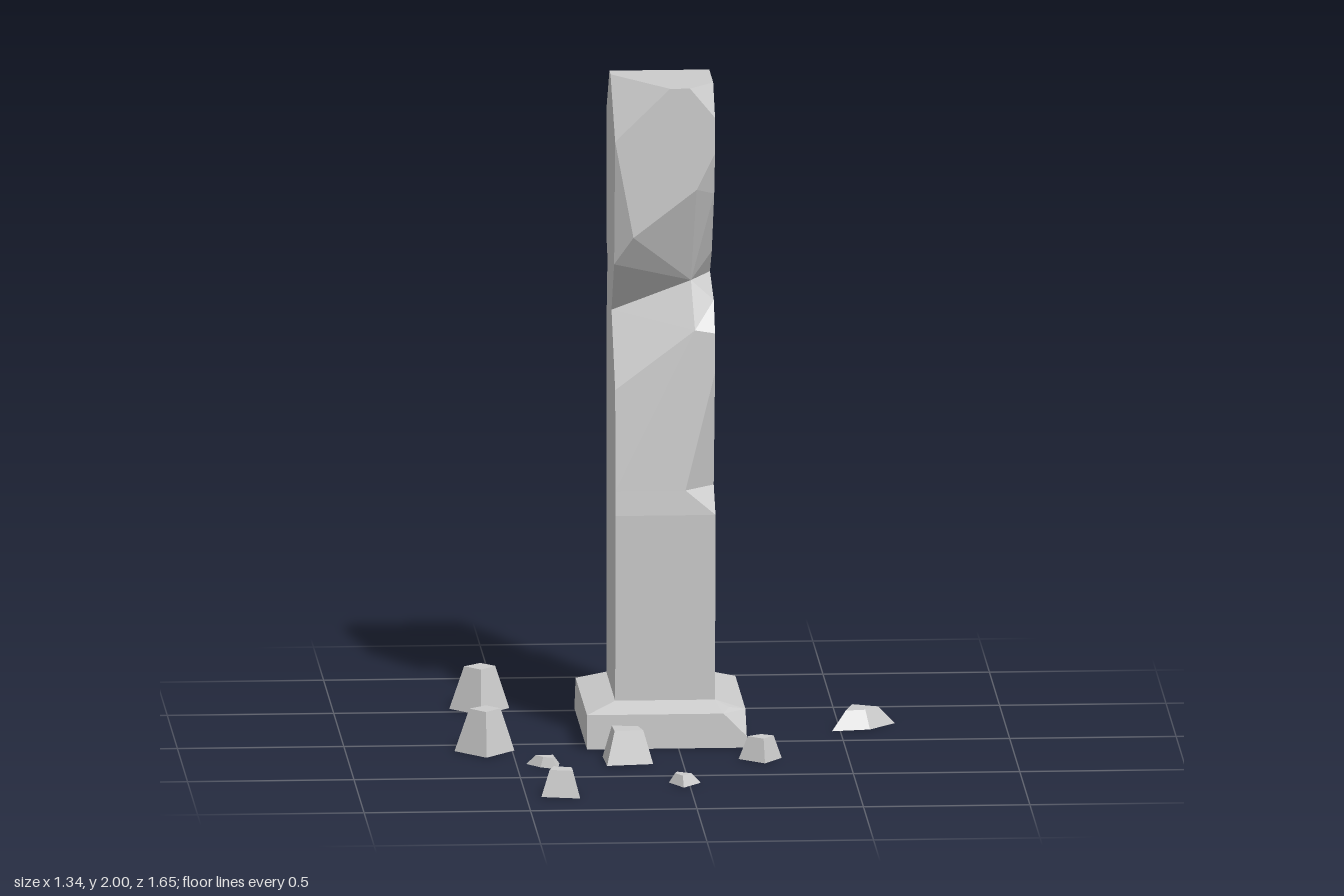
import * as THREE from 'three';
import { ConvexGeometry } from 'three/addons/geometries/ConvexGeometry.js';

const stone = new THREE.MeshStandardMaterial({ color: 0xcccccc, flatShading: true });

// A faceted block of stone spanning the given corner points
function block(name, points) {
  const mesh = new THREE.Mesh(new ConvexGeometry(points.map(p => new THREE.Vector3(...p))), stone);
  mesh.name = name;
  return mesh;
}

// Four corners of a level rectangle
const rect = (x0, x1, y, z0, z1) => [[x0, y, z0], [x1, y, z0], [x1, y, z1], [x0, y, z1]];

// A loose rock: a ground outline tapering to a smaller flat top
function rock(outline, height, taper = 0.52) {
  const n = outline.length;
  const cx = outline.reduce((s, p) => s + p[0], 0) / n;
  const cz = outline.reduce((s, p) => s + p[1], 0) / n;
  const base = outline.map(([x, z]) => [x, 0, z]);
  const top = outline.map(([x, z]) => [cx + (x - cx) * taper, height, cz + (z - cz) * taper]);
  return block('rock', [...base, ...top]);
}

export function createModel() {
  const model = new THREE.Group();
  const L = -0.185, R = 0.115, B = -0.44;

  // Plinth with bevelled top, leaning back face and one chipped corner
  model.add(block('plinth', [
    ...rect(-0.275, 0.205, 0, -0.535, 0.09),
    [-0.275, 0.105, 0.09], [-0.275, 0.105, -0.475], [-0.24, 0.105, -0.49],
    [0.17, 0.105, -0.49], [0.205, 0.105, -0.475],
    [0.205, 0.105, 0.02], [0.155, 0.115, 0.04], [0.135, 0.105, 0.09], [0.205, 0.035, 0.09],
    ...rect(L, R, 0.13, B, 0),
  ]));

  // Ring shared by both trunk blocks, notched at the front corner
  const waist = [
    [L, 0.775, 0.021], [0.025, 0.775, 0.021], [R, 0.775, -0.065],
    [R, 0.775, -0.42], [L, 0.775, -0.42],
  ];
  // Ring at the neck, notched at both back corners
  const neck = [
    [L, 1.29, -0.18], [0.05, 1.39, -0.12], [R, 1.39, -0.25],
    [R, 1.32, -0.385], [0.055, 1.32, B],
    [-0.12, 1.41, B], [L, 1.41, -0.38],
  ];

  model.add(block('lowerTrunk', [
    ...rect(L, R, 0.13, B, 0), [L, 0.7, 0.025], [R, 0.7, 0.025], ...waist,
  ]));

  // Upper trunk rising to a slanted shoulder
  model.add(block('upperTrunk', [
    ...waist, [R, 1.13, 0], [L, 1.08, 0],
    [R, 1.25, 0], [0.055, 1.26, 0], [R, 1.34, -0.06],
    [R, 1.23, B], [L, 1.15, B], ...neck,
  ]));

  // Head with hollowed underside, sloping back and cut top corners
  model.add(block('head', [
    ...neck,
    [L, 1.455, -0.05], [-0.13, 1.545, 0], [0.06, 1.69, 0], [R, 1.8, 0],
    [R, 1.67, -0.04], [R, 1.47, -0.16], [0.075, 1.435, -0.13],
    [R, 1.55, B], [L, 1.47, B],
    [L, 1.845, B], [R, 1.845, B], [L, 2, -0.285], [R, 2, -0.285],
    [L, 1.84, 0], [L, 2, -0.23], [-0.02, 2, 0],
    [0.04, 2, 0], [R, 2, -0.09], [R, 1.91, 0],
  ]));

  // Scattered rocks
  const rocks = new THREE.Group();
  rocks.name = 'rocks';
  const diamond = (x, z) => [[x - 0.09, z], [x + 0.01, z - 0.09], [x + 0.09, z], [x, z + 0.105]];
  rocks.add(
    rock(diamond(-0.56, -0.548), 0.13),
    rock(diamond(-0.583, 0.09), 0.13),
    rock([[-0.47, 0.295], [-0.37, 0.29], [-0.38, 0.38], [-0.43, 0.35]], 0.03),
    rock([[-0.43, 0.7], [-0.34, 0.735], [-0.34, 0.825], [-0.455, 0.795]], 0.08, 0.6),
    rock([[-0.235, 0.2], [-0.11, 0.215], [-0.09, 0.32], [-0.23, 0.34]], 0.1, 0.62),
    rock([[0.17, 0.26], [0.24, 0.21], [0.3, 0.25], [0.245, 0.33]], 0.07, 0.6),
    rock([[-0.045, 0.56], [0.035, 0.61], [-0.02, 0.68], [-0.06, 0.6]], 0.03),
    rock([[0.525, -0.325], [0.67, -0.25], [0.59, -0.16], [0.475, -0.14]], 0.055),
    rock([[0, -0.83], [0.105, -0.83], [0.095, -0.745], [0.04, -0.77]], 0.03),
  );
  model.add(rocks);
  return model;
}
